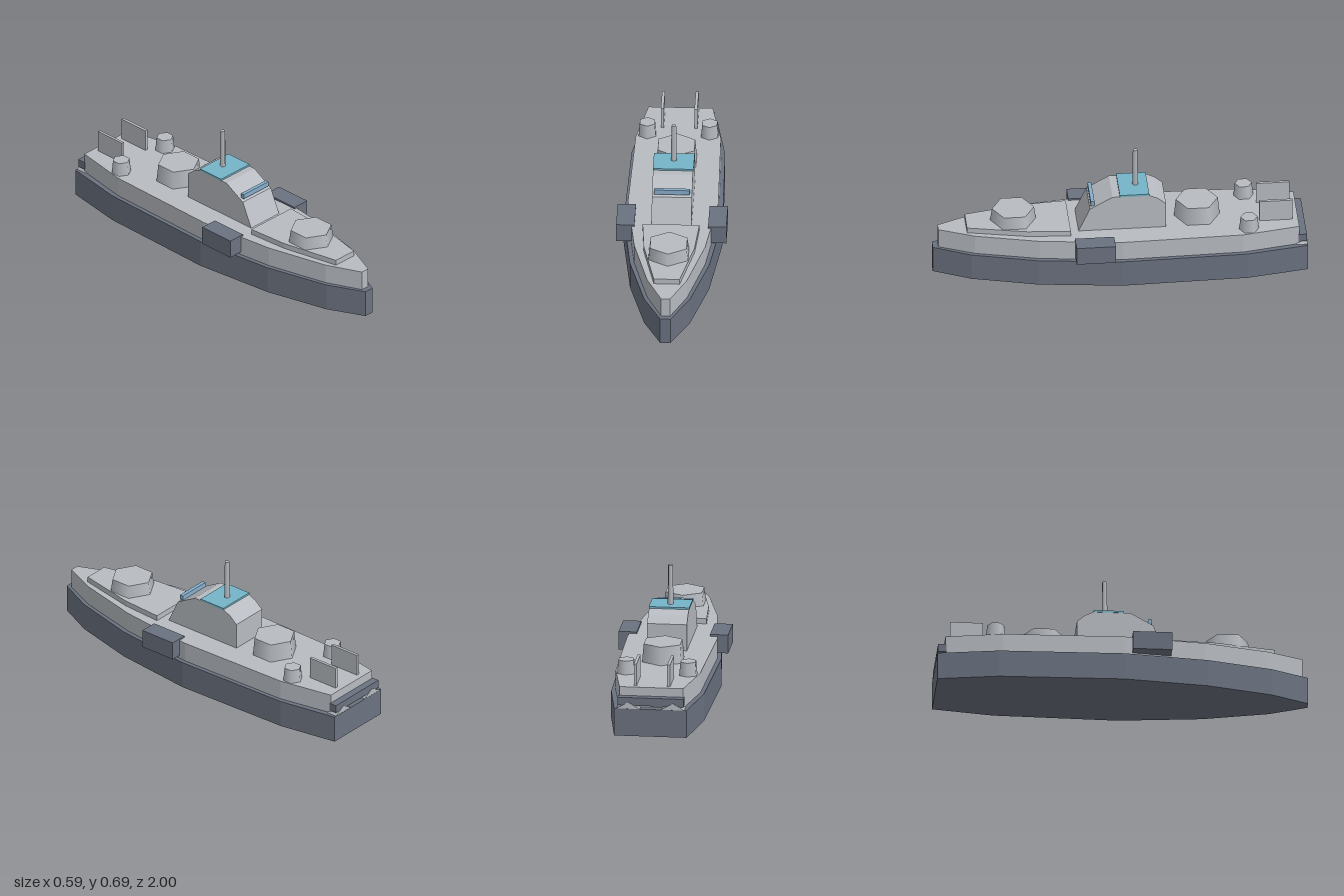
import * as THREE from 'three';

const material = (name, color) => {
  const m = new THREE.MeshStandardMaterial({ color });
  m.name = name;
  return m;
};

export function createModel() {
  const ship = new THREE.Group();
  ship.name = 'patrolShip';
  const hullGrey = material('hull grey', 0x6b7280);
  const deckGrey = material('deck grey', 0xb8bcc2);
  const teal = material('roof teal', 0x74b4c8);
  const glass = material('window blue', 0x86aecb);

  const add = (name, geometry, mat, x = 0, y = 0, z = 0) => {
    const mesh = new THREE.Mesh(geometry, mat);
    mesh.name = name;
    mesh.position.set(x, y, z);
    ship.add(mesh);
    return mesh;
  };

  // Horizontal slab from a half outline of [x, z] points, mirrored across x = 0
  const slab = (name, half, y0, y1, mat) => {
    const mirrored = half.slice().reverse().map(([x, z]) => [-x, z]);
    const shape = new THREE.Shape([...half, ...mirrored].map(([x, z]) => new THREE.Vector2(x, -z)));
    const geometry = new THREE.ExtrudeGeometry(shape, { depth: y1 - y0, bevelEnabled: false });
    add(name, geometry.rotateX(-Math.PI / 2), mat, 0, y0, 0);
  };

  // Box given by its limits on each axis
  const box = (name, [x0, x1], [y0, y1], [z0, z1], mat) =>
    add(name, new THREE.BoxGeometry(x1 - x0, y1 - y0, z1 - z0), mat,
      (x0 + x1) / 2, (y0 + y1) / 2, (z0 + z1) / 2);

  // Tapered upright drum standing on y0
  const drum = (name, rTop, rBottom, y0, y1, sides, x, z) =>
    add(name, new THREE.CylinderGeometry(rTop, rBottom, y1 - y0, sides), deckGrey, x, (y0 + y1) / 2, z);

  // Hull, main deck and raised foredeck
  slab('hull', [[0.027, 1], [0.122, 0.8], [0.212, 0.45], [0.265, 0], [0.25, -0.67], [0.195, -1]], 0, 0.151, hullGrey);
  slab('mainDeck', [[0.024, 0.97], [0.107, 0.78], [0.19, 0.44], [0.242, 0], [0.228, -0.65], [0.172, -0.955]], 0.151, 0.26, deckGrey);
  slab('foredeck', [[0.069, 0.82], [0.136, 0.5], [0.152, 0.27]], 0.26, 0.29, deckGrey);

  // Bridge: side profile of [z, y] points extruded across the beam
  const profile = [[0.225, 0.26], [0.163, 0.395], [0.042, 0.463], [-0.155, 0.463],
    [-0.2, 0.443], [-0.245, 0.405], [-0.245, 0.26]];
  const bridge = new THREE.ExtrudeGeometry(
    new THREE.Shape(profile.map(([z, y]) => new THREE.Vector2(z, y))),
    { depth: 0.214, bevelEnabled: false });
  add('bridge', bridge.rotateY(-Math.PI / 2), deckGrey, 0.107, 0, 0);
  box('bridgeRoof', [-0.109, 0.109], [0.462, 0.473], [-0.155, 0.003], teal);
  box('bridgeWindow', [-0.095, 0.095], [0.408, 0.435], [0.138, 0.158], glass);
  drum('mast', 0.0135, 0.0165, 0.47, 0.69, 5, 0, -0.09);

  // Six-sided gun bases
  drum('foreTurret', 0.113, 0.123, 0.29, 0.36, 6, 0, 0.567);
  drum('aftTurret', 0.113, 0.123, 0.26, 0.36, 6, 0, -0.42);

  // Fittings mirrored to both sides
  for (const s of [1, -1]) {
    const side = s > 0 ? 'left' : 'right';
    const span = (a, b) => (s > 0 ? [a, b] : [-b, -a]);
    drum(side + 'Vent', 0.046, 0.053, 0.26, 0.335, 6, s * 0.167, -0.685);
    box(side + 'Sponson', span(0.197, 0.295), [0.168, 0.27], [0.042, 0.252], hullGrey);
    box(side + 'AftPanel', span(0.082, 0.098), [0.26, 0.381], [-0.925, -0.747], deckGrey);
    const thruster = new THREE.CylinderGeometry(0.075, 0.075, 0.06, 6).rotateX(Math.PI / 2);
    add(side + 'Thruster', thruster, deckGrey, s * 0.12, 0.112, -0.969);
  }
  box('sternBar', [-0.178, 0.178], [0.168, 0.212], [-0.995, -0.95], hullGrey);

  return ship;
}
